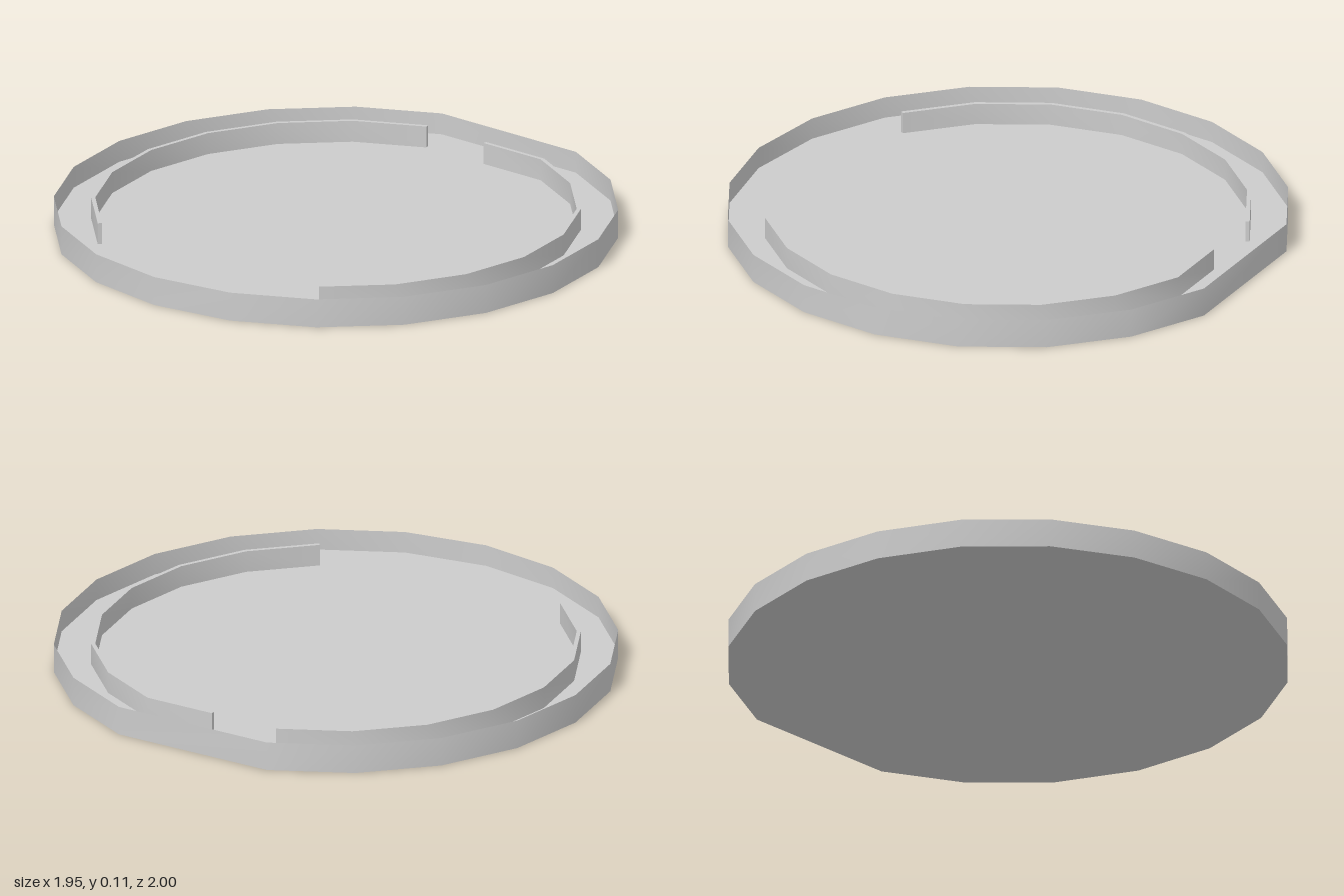
import * as THREE from 'three';
import { toCreasedNormals } from 'three/addons/utils/BufferGeometryUtils.js';

const CX = 0.0245;      // centre of the 20-sided outline
const STEP = Math.PI / 10;
const HEIGHT = 0.105;
const FLOOR = 0.0265;

const polar = (r, i) => new THREE.Vector2(CX + r * Math.cos(i * STEP), r * Math.sin(i * STEP));

// outline corners from step 1 to 19; the corner at step 0 is cut off flat
const outline = Array.from({ length: 19 }, (_, i) => polar(1, i + 1));

// thin upright wall running round the closed outline
function wallGeometry() {
  const pos = [], index = [], n = outline.length;
  outline.forEach((p, i) => {
    pos.push(p.x, 0, -p.y, p.x, HEIGHT, -p.y);
    const a = 2 * i, b = 2 * ((i + 1) % n);
    index.push(a, b, b + 1, a, b + 1, a + 1);
  });
  const g = new THREE.BufferGeometry();
  g.setAttribute('position', new THREE.Float32BufferAttribute(pos, 3));
  g.setIndex(index);
  g.computeVertexNormals();
  return g;
}

// curved rib: faceted strip from step 1 to 8, optionally continued along the flat side
function ribGeometry(side, extended) {
  const edge = (r) => {
    const pts = Array.from({ length: 8 }, (_, i) => polar(r, i + 1));
    if (extended) pts.unshift(new THREE.Vector2(pts[0].x, 0));
    return pts.map((p) => new THREE.Vector2(p.x, p.y * side));
  };
  const shape = new THREE.Shape([...edge(0.868), ...edge(0.853).reverse()]);
  const g = new THREE.ExtrudeGeometry(shape, { depth: HEIGHT - FLOOR, bevelEnabled: false });
  g.rotateX(-Math.PI / 2).translate(0, FLOOR, 0);
  return toCreasedNormals(g, 0.7);
}

export function createModel() {
  const group = new THREE.Group();
  const solid = new THREE.MeshStandardMaterial({ color: 0xcccccc });
  const sheet = new THREE.MeshStandardMaterial({ color: 0xcccccc, side: THREE.DoubleSide });
  const add = (name, geometry, material) => {
    const mesh = new THREE.Mesh(geometry, material);
    mesh.name = name;
    group.add(mesh);
  };

  add('outerWall', wallGeometry(), sheet);

  // raised floor inside and flat underside
  const face = new THREE.Shape(outline);
  add('floor', new THREE.ShapeGeometry(face).rotateX(-Math.PI / 2).translate(0, FLOOR, 0), sheet);
  add('underside', new THREE.ShapeGeometry(face).rotateX(Math.PI / 2), sheet);

  // inner ribs: back one stops short, front one runs on to the middle of the flat side
  add('backRib', ribGeometry(1, false), solid);
  add('frontRib', ribGeometry(-1, true), solid);
  return group;
}
